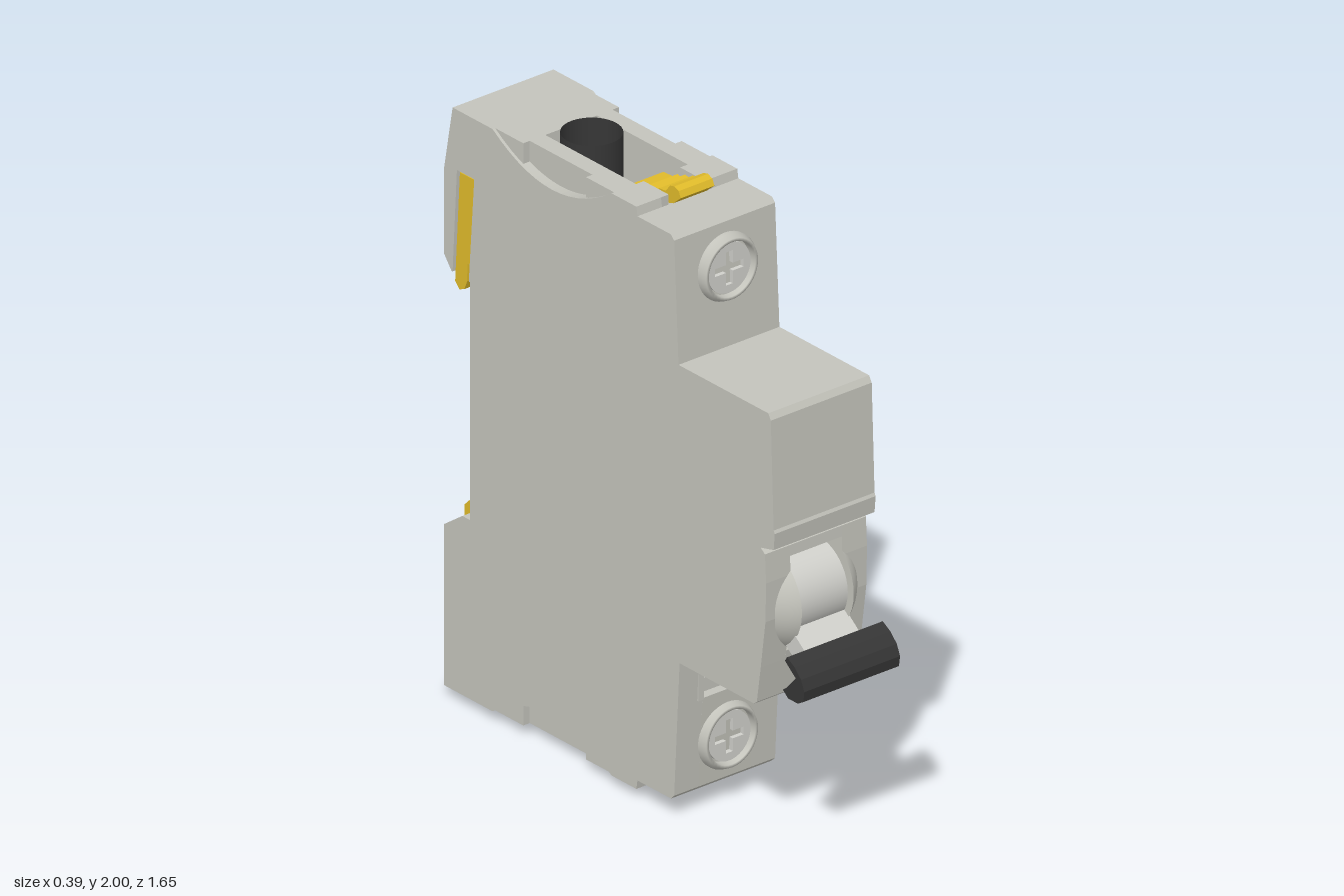
import * as THREE from 'three';

const material = (name, color) => {
  const m = new THREE.MeshStandardMaterial({ color });
  m.name = name;
  return m;
};
const flipY = ([z, y]) => [z, 2.005 - y];

export function createModel() {
  const grey = material('warm grey', 0xc4c4bc);
  const pale = material('pale grey', 0xd0d0cb);
  const yellow = material('yellow', 0xe0bb2a);
  const dark = material('charcoal', 0x363636);
  dark.side = THREE.DoubleSide;
  const brass = material('brass', 0xa8925e);
  const model = new THREE.Group();
  model.name = 'circuitBreaker';

  const add = (name, geometry, mat, x = 0, y = 0, z = 0) => {
    const mesh = new THREE.Mesh(geometry, mat);
    mesh.name = name;
    mesh.position.set(x, y, z);
    model.add(mesh);
    return mesh;
  };

  // Side outline of [z, y] points, extruded from x0 to x1
  const slab = (name, points, x0, x1, mat, holes = []) => {
    const shape = new THREE.Shape(points.map(([z, y]) => new THREE.Vector2(-z, y)));
    for (const [z, y] of holes) shape.holes.push(new THREE.Path().absarc(-z, y, 0.05, 0, Math.PI * 2, true));
    const g = new THREE.ExtrudeGeometry(shape, { depth: x1 - x0, bevelEnabled: false, curveSegments: 12 });
    g.translate(0, 0, x0).rotateY(Math.PI / 2);
    return add(name, g, mat);
  };

  // Housing outline: optional side scallop, terminal well and latch slot
  const outline = ({ scallop, middle, slot }) => {
    const edge = [[0.225, 1.94], [0.07, 1.94]];
    if (middle) {
      edge.push([0.07, 1.92], [-0.05, 1.9], [-0.05, 1.72], [-0.47, 1.72], [-0.47, 1.97]);
    } else {
      edge.push([0.065, 1.97]);
      if (scallop) {
        const [a, b] = scallop;
        if (a < -0.06) edge.push([a, 1.97]);
        for (let i = 0; i <= 14; i++) {
          const z = a + (b - a) * i / 14;
          edge.push([z, 1.97 - 0.095 * (1 - ((z + 0.325) / 0.275) ** 2)]);
        }
        if (b > -0.59) edge.push([b, 1.97]);
      }
    }
    const back = [[-0.785, 1.97], [-0.825, 1.75], [-0.825, 1.47], [-0.79, 1.425]];
    if (slot) back.push([-0.785, 1.425], [-0.765, 1.77], [-0.685, 1.77], [-0.71, 1.42]);
    back.push([-0.705, 1.42], [-0.705, 0.63]);
    if (middle) back.push([-0.77, 0.6], [-0.77, 0.5], [-0.825, 0.5]);
    else back.push([-0.74, 0.63], [-0.825, 0.57]);
    back.push([-0.825, 0.035]);
    const front = [[0.24, 0.08]];
    if (middle) front.push([0.257, 0.38], [0.225, 0.38], [0.225, 0.475], [0.262, 0.475]);
    front.push([0.265, 0.53], [0.61, 0.53], [0.622, 0.54], [0.64, 0.66]);
    if (middle) front.push([0.645, 0.69], [0.58, 0.69], [0.58, 0.99], [0.662, 1.01]);
    else front.push([0.662, 0.82], [0.665, 0.95]);
    front.push([0.66, 1.045], [0.64, 1.06], [0.7, 1.075], [0.705, 1.13], [0.7, 1.14],
      [0.687, 1.5], [0.675, 1.52], [0.26, 1.52], [0.24, 1.925]);
    return [...edge, ...back, ...edge.map(flipY).reverse(), ...front];
  };

  // Housing layers, with round rivet recesses on one side only
  const rivets = [[0.195, 1.6], [-0.555, 1.755], [-0.12, 1.1], [0.53, 0.84], [0.12, 0.455], [-0.62, 0.4]];
  slab('housingCore', outline({ middle: true }), -0.1, 0.1, grey);
  for (const s of [-1, 1]) {
    const layer = (name, a, b, options, holes) =>
      slab(name, outline(options), Math.min(s * a, s * b), Math.max(s * a, s * b), grey, holes);
    const holes = s > 0 ? rivets : [];
    layer('housingWall', 0.1, 0.16, {});
    layer('housingInnerSkin', 0.16, 0.185, { scallop: [-0.18, -0.47], slot: true }, holes);
    layer('housingOuterSkin', 0.185, 0.195, { scallop: [-0.05, -0.6], slot: true }, holes);
    // Rail latch arm showing through the side slot
    const latch = [[-0.688, 1.76], [-0.763, 1.76], [-0.785, 1.39], [-0.765, 1.37], [-0.742, 1.38],
      [-0.73, 1.41], [-0.728, 1.47], [-0.71, 1.47]];
    const x = s > 0 ? 0.13 : -0.185;
    slab('railLatch', latch, x, x + 0.055, yellow);
  }

  // Lower rail clip and its peg
  slab('railClip', [[-0.706, 0.62], [-0.706, 0.65], [-0.735, 0.65], [-0.745, 0.68], [-0.77, 0.665],
    [-0.825, 0.61], [-0.825, 0.575], [-0.79, 0.585], [-0.75, 0.62]], -0.115, 0.115, yellow);
  add('railClipPeg', new THREE.BoxGeometry(0.11, 0.07, 0.035), yellow, 0, 0.56, -0.797);

  // Label slot ridge
  add('labelRidge', new THREE.BoxGeometry(0.2, 0.03, 0.03), grey, 0, 0.43, 0.24);
  for (const s of [-1, 1]) add('labelSlotEnd', new THREE.BoxGeometry(0.02, 0.1, 0.012), grey, s * 0.11, 0.428, 0.257);

  // Toggle: two rounded cheeks, drum, arm and grip
  const r = 0.195, cut = Math.acos(0.1 / r);
  for (const s of [-1, 1]) {
    const cheek = new THREE.SphereGeometry(r, 40, 14, 0, Math.PI * 2, 0, cut).rotateZ(-s * Math.PI / 2);
    add('toggleCheek', cheek, grey, 0, 0.84, 0.55);
    const face = new THREE.CircleGeometry(r * Math.sin(cut), 40).rotateY(-s * Math.PI / 2);
    add('toggleCheekFace', face, grey, s * 0.1, 0.84, 0.55);
  }
  add('toggleDrum', new THREE.CylinderGeometry(0.135, 0.135, 0.2, 40).rotateZ(Math.PI / 2), pale, 0, 0.835, 0.555);
  slab('toggleArm', [[0.62, 0.73], [0.65, 0.79], [0.74, 0.72], [0.79, 0.68], [0.75, 0.635]], -0.105, 0.105, pale);
  slab('toggleGrip', [[0.75, 0.735], [0.785, 0.715], [0.815, 0.685], [0.83, 0.65], [0.825, 0.615], [0.8, 0.6],
    [0.755, 0.6], [0.73, 0.62], [0.75, 0.635], [0.79, 0.68], [0.74, 0.72]], -0.185, 0.185, dark);

  // Screw head with a cross recess
  const head = new THREE.Shape().absarc(0, 0, 0.082, 0, Math.PI * 2);
  const a = 0.013, b = 0.055;
  head.holes.push(new THREE.Path([[a, a], [a, b], [-a, b], [-a, a], [-b, a], [-b, -a], [-a, -a], [-a, -b],
    [a, -b], [a, -a], [b, -a], [b, a]].map(p => new THREE.Vector2(...p))));
  const headGeometry = new THREE.ExtrudeGeometry(head, { depth: 0.03, bevelEnabled: false, curveSegments: 20 });
  const ringGeometry = new THREE.LatheGeometry([[0.11, 0], [0.11, 0.055], [0.1, 0.075], [0.09, 0.075], [0.088, 0]]
    .map(p => new THREE.Vector2(...p)), 40).rotateX(Math.PI / 2);

  // Matching terminals at the top and bottom
  const clip = [[0.115, 1.975], [0.105, 1.995], [0.085, 2.003], [0.065, 1.998], [0.045, 1.973], [0.015, 1.97],
    [0, 1.955], [-0.02, 1.96], [-0.035, 1.943], [-0.055, 1.948], [-0.07, 1.932], [-0.12, 1.93],
    [-0.12, 1.9], [0.03, 1.93], [0.08, 1.945]];
  for (const top of [true, false]) {
    const at = y => (top ? y : 2.005 - y);
    add('screwCollar', ringGeometry, grey, 0, at(1.78), 0.2);
    add('screwHead', headGeometry, pale, 0, at(1.78), 0.232);
    slab('terminalClip', top ? clip : clip.map(flipY), -0.065, 0.065, yellow);
    for (const s of [-1, 1])
      add('clipGuide', new THREE.BoxGeometry(0.03, 0.07, 0.115), grey, s * 0.085, at(1.935), 0.0075);
    add('wireSleeve', new THREE.CylinderGeometry(0.094, 0.094, 0.25, 36, 1, true), dark, 0, at(top ? 1.86 : 1.842), -0.375);
    add('terminalContact', new THREE.CylinderGeometry(0.06, 0.06, 0.008, 32), brass, 0, at(1.724), -0.375);
  }
  return model;
}
